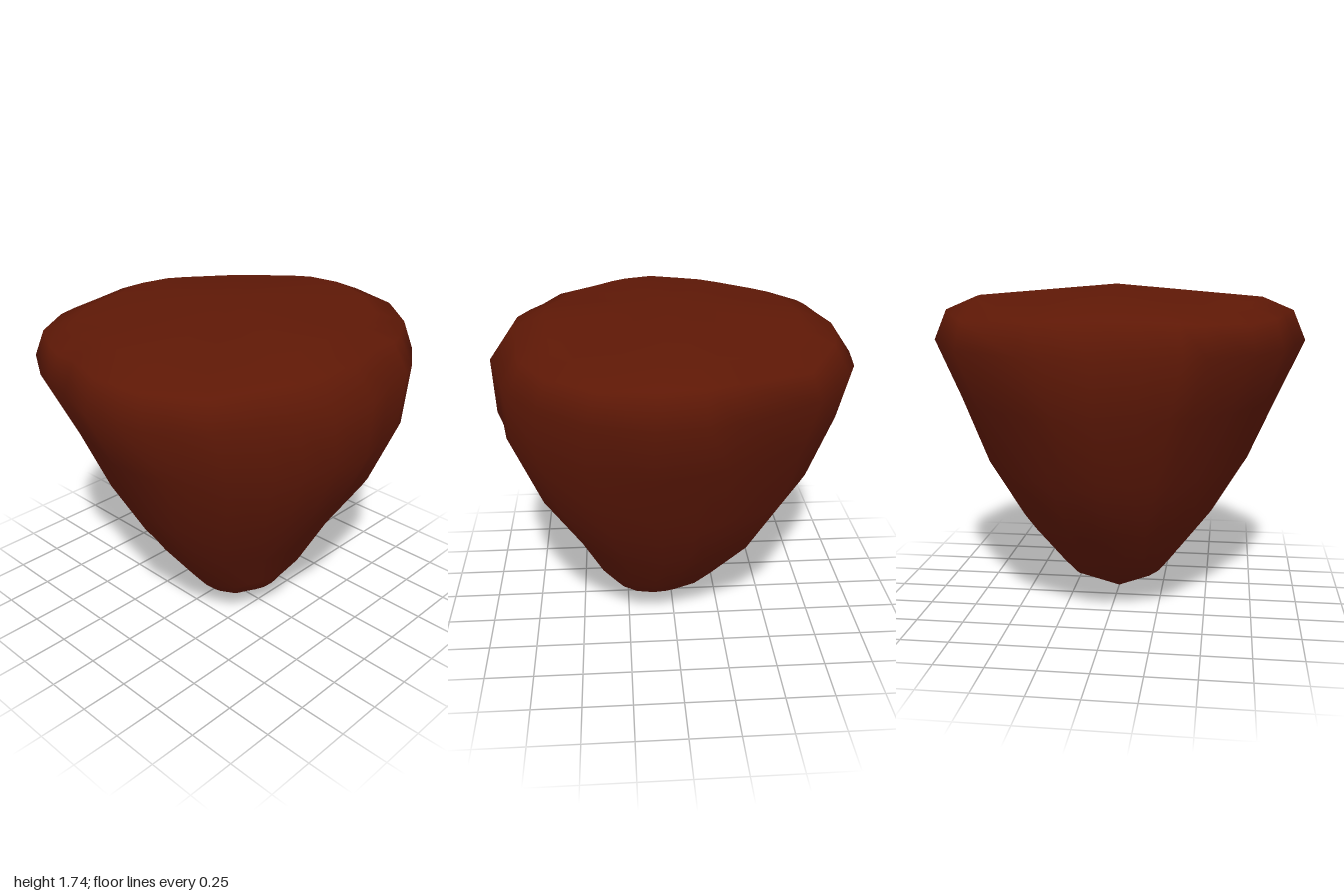
import * as THREE from 'three';

// Plan outline (x, z) at the widest level, back -> left -> front -> right
const OUTLINE = [
  [0, -0.94], [0.22, -0.91], [0.35, -0.86], [0.7, -0.64], [0.91, -0.25], [0.97, -0.1],
  [1, 0.13], [0.91, 0.43], [0.71, 0.66], [0.5, 0.8], [0.4, 0.84], [0.2, 0.88],
  [0, 0.935], [-0.24, 0.905], [-0.4, 0.83], [-0.53, 0.75], [-0.75, 0.65], [-0.86, 0.5],
  [-0.93, 0.4], [-0.97, 0.3], [-1, 0.1], [-0.93, -0.15], [-0.91, -0.3], [-0.86, -0.43],
  [-0.72, -0.67], [-0.51, -0.82], [-0.4, -0.855], [-0.22, -0.89],
];

// Levels from bottom to top: height, half width, front z, back z,
// then on the diagonals: bulge of the full side, bulge of the pinched side, droop
const LEVELS = [
  [0.16, 0.27, 0.35, -0.2, 0.05, 0, 0],
  [0.26, 0.35, 0.42, -0.3, 0.08, 0, 0],
  [0.49, 0.52, 0.53, -0.53, 0.1, -0.05, 0],
  [0.8, 0.71, 0.74, -0.75, 0.08, -0.09, 0],
  [1.15, 0.87, 0.92, -0.88, 0.02, -0.05, 0],
  [1.44, 1.0, 0.935, -0.94, 0, 0, 0],
  [1.6, 0.93, 0.82, -0.83, 0.05, 0.04, 0.02],
  [1.67, 0.765, 0.65, -0.65, 0.08, 0.08, 0.04],
];

// 0 on the full front half, 1 on the pinched back right, a blend on the back left
function pinchAt(x, z, angle) {
  if (z >= 0) return 0;
  return x < 0 ? 1 : (1 - Math.cos(2 * angle)) / 2;
}

function rockGeometry() {
  const n = OUTLINE.length;
  const positions = [0, 0, 0.14];
  const index = [];
  for (const [y, halfWidth, front, back, full, pinched, droop] of LEVELS) {
    const centre = (front + back) / 2;
    const depth = (front - back) / 1.875;
    for (const [x, z] of OUTLINE) {
      const angle = Math.atan2(z, x);
      const diagonal = Math.sin(2 * angle) ** 2;
      const swell = 1 + diagonal * THREE.MathUtils.lerp(full, pinched, pinchAt(x, z, angle));
      positions.push(x * halfWidth * swell, y - droop * diagonal, centre + z * depth * swell);
    }
  }
  positions.push(0, 1.735, 0.02);

  const top = LEVELS.length * n + 1;
  const id = (level, j) => 1 + level * n + (j % n);
  for (let j = 0; j < n; j++) {
    index.push(0, id(0, j), id(0, j + 1));
    for (let i = 0; i < LEVELS.length - 1; i++) {
      const a = id(i, j), b = id(i, j + 1), c = id(i + 1, j + 1), d = id(i + 1, j);
      index.push(a, d, c, a, c, b);
    }
    index.push(id(LEVELS.length - 1, j), top, id(LEVELS.length - 1, j + 1));
  }

  const geometry = new THREE.BufferGeometry();
  geometry.setAttribute('position', new THREE.Float32BufferAttribute(positions, 3));
  geometry.setIndex(index);
  geometry.computeVertexNormals();
  return geometry;
}

export function createModel() {
  const group = new THREE.Group();
  group.name = 'taperedRock';
  const rock = new THREE.Mesh(rockGeometry(), new THREE.MeshStandardMaterial({ color: 0x5e1806 }));
  rock.name = 'rockBody';
  group.add(rock);
  return group;
}
